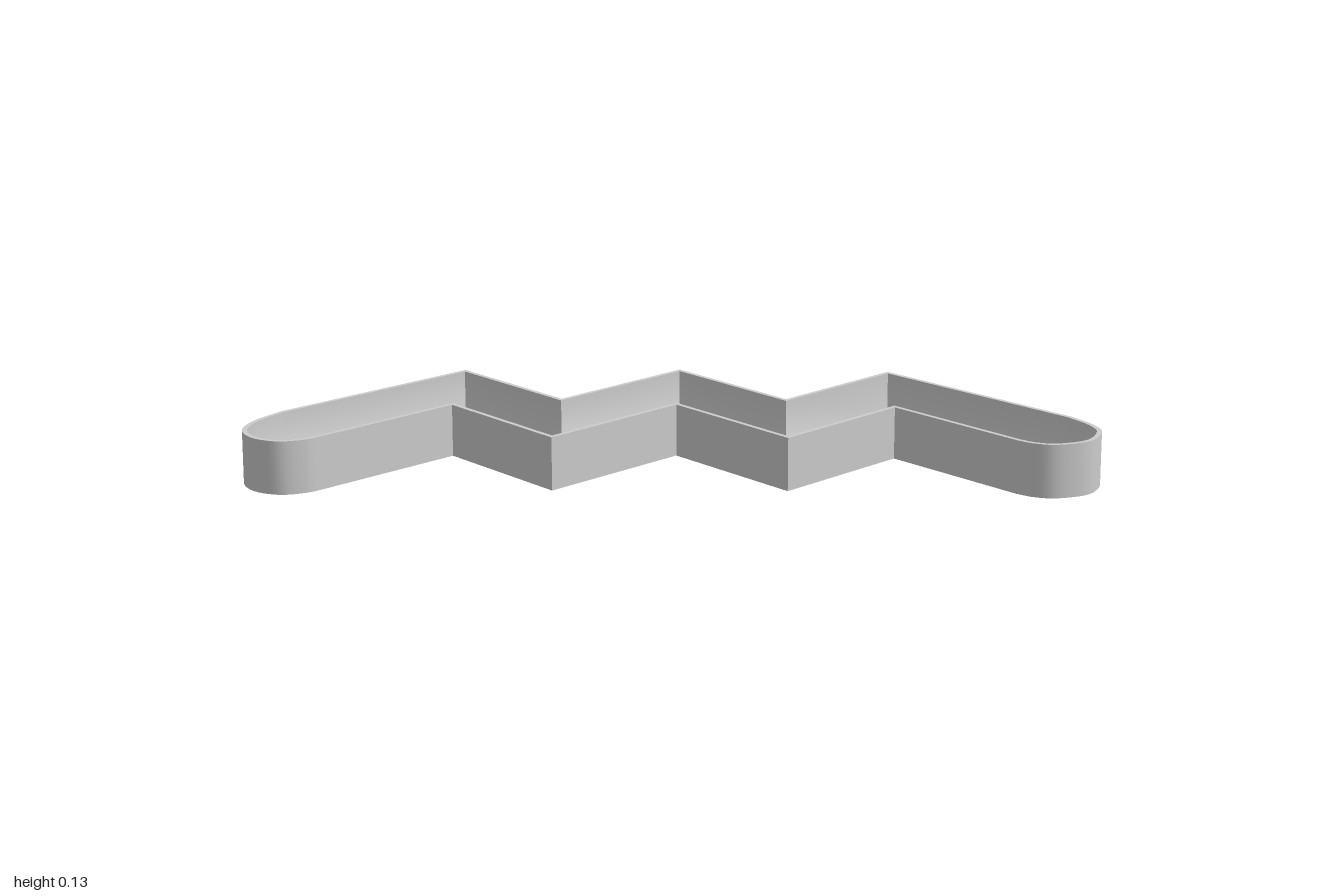
import * as THREE from 'three';
import { toCreasedNormals } from 'three/addons/utils/BufferGeometryUtils.js';

const v2 = ([x, z]) => new THREE.Vector2(x, z);

// smooth rounded end through a few points
const roundEnd = (pts) => new THREE.SplineCurve(pts.map(v2)).getPoints(28);

// outer outline (x, z): zigzag back edge, right end, zigzag front edge, left end
function makeOutline() {
  const back = [[-0.537, -0.355], [-0.275, -0.055], [0.005, -0.373], [0.27, -0.064], [0.53, -0.36]];
  const front = [[0.53, 0.013], [0.27, 0.312], [0.005, -0.002], [-0.275, 0.32], [-0.535, 0.013]];
  const rightEnd = [[0.945, 0.095], [0.985, 0.165], [0.999, 0.235], [0.965, 0.32], [0.89, 0.358], [0.835, 0.35], [0.795, 0.32]];
  const leftEnd = [[-0.805, 0.32], [-0.84, 0.353], [-0.9, 0.372], [-0.965, 0.34], [-1, 0.265], [-0.985, 0.175], [-0.935, 0.085]];
  return [...back.map(v2), ...roundEnd(rightEnd), ...front.map(v2), ...roundEnd(leftEnd)];
}

// mitred inward offset of a closed outline
function inset(pts, d) {
  const n = pts.length;
  const normal = (a, b) => {
    const e = b.clone().sub(a).normalize();
    return new THREE.Vector2(-e.y, e.x);
  };
  return pts.map((p, i) => {
    const n1 = normal(pts[(i + n - 1) % n], p);
    const n2 = normal(p, pts[(i + 1) % n]);
    const m = n1.clone().add(n2);
    return p.clone().addScaledVector(m, d / (1 + n1.dot(n2)));
  });
}

// sweep a closed (inset, height) section around the outline
function sweepSection(outline, section) {
  const rings = section.map(([d, y]) => inset(outline, d).map((p) => [p.x, y, p.y]));
  const pos = [];
  const n = outline.length;
  rings.forEach((lower, j) => {
    const upper = rings[(j + 1) % rings.length];
    for (let i = 0; i < n; i++) {
      const k = (i + 1) % n;
      pos.push(...lower[i], ...upper[i], ...upper[k], ...lower[i], ...upper[k], ...lower[k]);
    }
  });
  const geo = new THREE.BufferGeometry();
  geo.setAttribute('position', new THREE.Float32BufferAttribute(pos, 3));
  return toCreasedNormals(geo, 0.5);
}

export function createModel() {
  const group = new THREE.Group();
  group.name = 'zigzagCutter';
  // thin upright blade, small fillet and flat inward base flange
  const section = [
    [0, 0], [0, 0.127], [0.012, 0.127], [0.012, 0.03],
    [0.015, 0.023], [0.022, 0.02], [0.08, 0.02], [0.08, 0],
  ];
  const material = new THREE.MeshStandardMaterial({ color: 0xcccccc });
  const cutter = new THREE.Mesh(sweepSection(makeOutline(), section), material);
  cutter.name = 'bladeWithFlange';
  group.add(cutter);
  return group;
}
